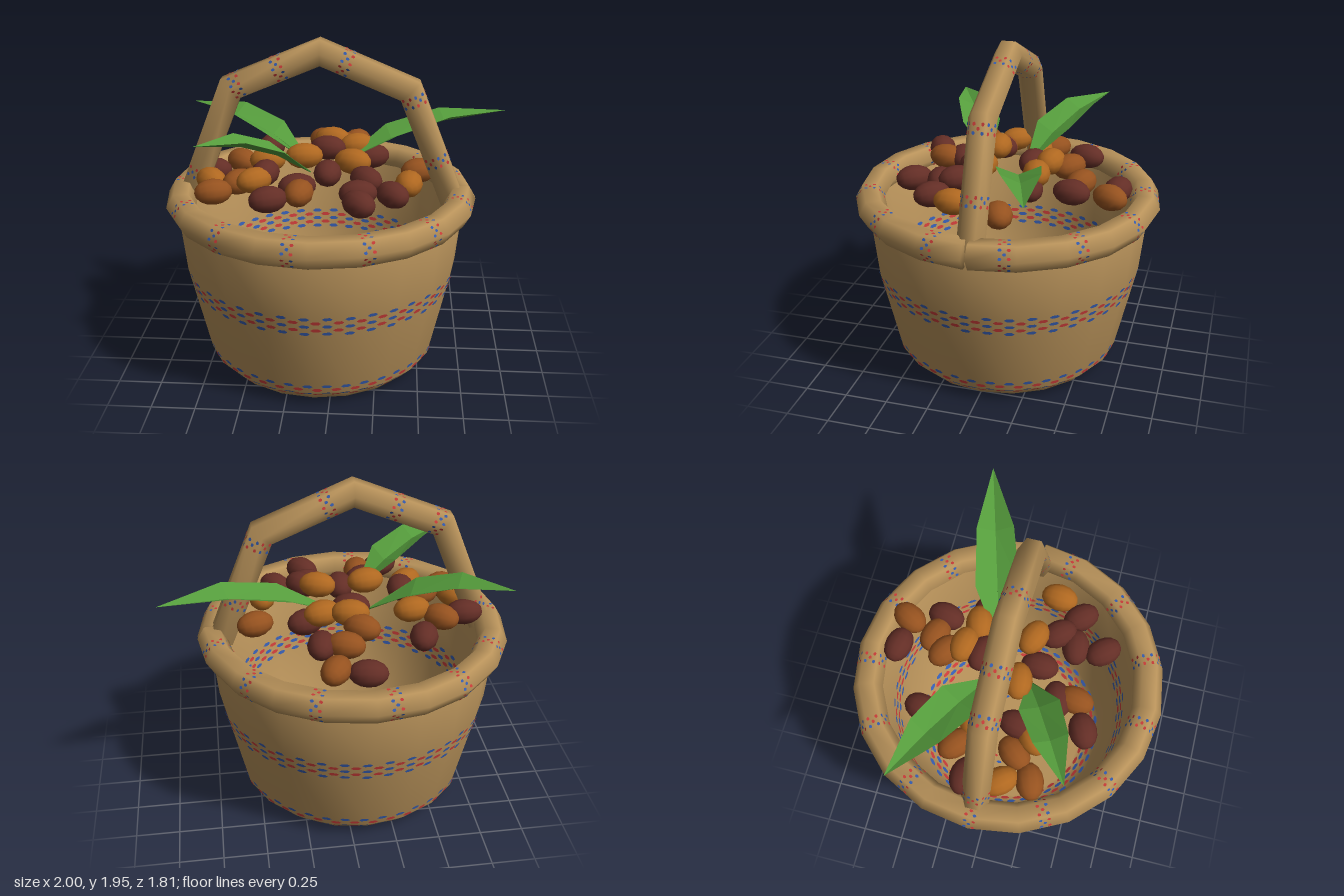
import * as THREE from 'three';
import { mergeGeometries } from 'three/addons/utils/BufferGeometryUtils.js';

const mat = (name, color, side = THREE.FrontSide) => {
  const m = new THREE.MeshStandardMaterial({ color, side });
  m.name = name;
  return m;
};
const V = (x, y, z) => new THREE.Vector3(x, y, z);
const SIDES = 20, RIM_R = 0.82, RIM_Y = 1.015;
const deg = Math.PI / 180;

// Skin a list of equal rings and close both ends.
function loft(rings) {
  const n = rings[0].length, pos = [], idx = [];
  rings.forEach(r => r.forEach(p => pos.push(p.x, p.y, p.z)));
  for (let i = 0; i < rings.length - 1; i++) {
    for (let j = 0; j < n; j++) {
      const a = i * n + j, b = i * n + (j + 1) % n;
      idx.push(a, b, a + n, b, b + n, a + n);
    }
  }
  const last = (rings.length - 1) * n;
  for (let j = 1; j < n - 1; j++) idx.push(0, j + 1, j, last, last + j, last + j + 1);
  const g = new THREE.BufferGeometry();
  g.setAttribute('position', new THREE.Float32BufferAttribute(pos, 3));
  g.setIndex(idx);
  g.computeVertexNormals();
  return g;
}

// Hexagonal section with a corner along u.
function hexRing(c, u, v, r, vScale = 1) {
  return Array.from({ length: 6 }, (_, k) => c.clone()
    .addScaledVector(u, r * Math.cos(k * Math.PI / 3))
    .addScaledVector(v, r * vScale * Math.sin(k * Math.PI / 3)));
}

// Folded leaf from base to tip.
function leafGeometry(base, tip, width) {
  const along = tip.clone().sub(base).setY(0).normalize();
  const across = V(-along.z, 0, along.x);
  const stations = [[0, 0.03, 0, 0.01], [0.3, 1, 0.62, 0.05], [0.62, 0.85, 0.95, 0.05], [1, 0.01, 1, 0]];
  const pos = [], idx = [];
  stations.forEach(([t, w, rise, fold], i) => {
    const c = base.clone().lerp(tip, t);
    c.y = base.y + (tip.y - base.y) * rise;
    [-1, 0, 1].forEach(s => {
      const p = c.clone().addScaledVector(across, s * w * width);
      pos.push(p.x, p.y + (s ? fold * 0.5 : -fold * 0.5), p.z);
    });
    if (i) for (let j = 0; j < 2; j++) {
      const a = (i - 1) * 3 + j;
      idx.push(a, a + 1, a + 3, a + 1, a + 4, a + 3);
    }
  });
  const g = new THREE.BufferGeometry();
  g.setAttribute('position', new THREE.Float32BufferAttribute(pos, 3));
  // Reverse the winding so the upper side is the front.
  for (let i = 0; i < idx.length; i += 3) [idx[i], idx[i + 1]] = [idx[i + 1], idx[i]];
  g.setIndex(idx);
  const flat = g.toNonIndexed();
  flat.computeVertexNormals();
  return flat;
}

export function createModel() {
  const model = new THREE.Group();
  model.name = 'nutBasket';
  const wicker = mat('wicker tan', 0xb8925a);
  const red = mat('woven red', 0xc83c38), blue = mat('woven blue', 0x365cae);
  const leafGreen = mat('leaf green', 0x559c3c, THREE.DoubleSide);
  const add = (parent, name, geo, material) => {
    const m = new THREE.Mesh(geo, material);
    m.name = name;
    parent.add(m);
    return m;
  };

  const basket = new THREE.Group();
  basket.name = 'basket';
  basket.position.x = -0.092;
  model.add(basket);

  // Hollow body: outside wall, lip, inside wall and floor.
  const profile = [[0, 0], [0.604, 0], [0.685, 0.085], [0.803, 0.62], [0.838, 0.97],
    [0.76, 0.97], [0.72, 0.62], [0.6, 0.14], [0.49, 0.07], [0, 0.07]];
  add(basket, 'body', new THREE.LatheGeometry(profile.map(p => new THREE.Vector2(...p)), SIDES), wicker);

  // Rim with a narrow split on its left side.
  const rimRings = [];
  for (let i = 0; i <= SIDES; i++) {
    const a = (90 - 360 / SIDES * i + (i === 0 ? -0.8 : i === SIDES ? 0.8 : 0)) * deg;
    const u = V(Math.sin(a), 0, Math.cos(a));
    rimRings.push(hexRing(u.clone().multiplyScalar(RIM_R).setY(RIM_Y), u, V(0, 1, 0), 0.086));
  }
  add(basket, 'rim', loft(rimRings), wicker);

  // Angular handle with mitred corners.
  const path = [[0.77, 1.0], [0.51, 1.655], [0, 1.868], [-0.51, 1.655], [-0.77, 1.0]].map(p => V(p[0], p[1], 0));
  const zAxis = V(0, 0, 1);
  const segNormal = i => path[i + 1].clone().sub(path[i]).normalize().cross(zAxis);
  const handleRings = path.map((p, i) => {
    const a = segNormal(Math.max(0, i - 1)), b = segNormal(Math.min(path.length - 2, i));
    const v = a.clone().add(b).normalize();
    return hexRing(p, zAxis, v, 0.08, 1 / v.dot(a));
  });
  add(basket, 'handle', loft(handleRings), wicker);

  // Painted dashes, gathered by colour.
  const paint = { red: [], blue: [] };
  const dot = new THREE.CircleGeometry(0.5, 6);
  const step = 2 * Math.PI / SIDES;
  const polygonFactor = a => {
    const d = ((a % step) + step) % step - step / 2;
    return Math.cos(step / 2) / Math.cos(d);
  };
  const stamp = (colour, p, x, y, n, w, h) => {
    const m = new THREE.Matrix4().makeBasis(x, y, n).scale(V(w, h, 1)).setPosition(p);
    paint[colour].push(dot.clone().applyMatrix4(m));
  };
  // A row runs round the basket; tilt is the angle of its surface normal above outward.
  const row = (colour, r, y, tilt, count, shift, w, h) => {
    for (let k = 0; k < count; k++) {
      const a = (k + shift) / count * 2 * Math.PI;
      const out = V(Math.sin(a), 0, Math.cos(a)), side = V(Math.cos(a), 0, -Math.sin(a));
      const n = out.clone().multiplyScalar(Math.cos(tilt)).setY(Math.sin(tilt));
      const p = out.multiplyScalar(r * polygonFactor(a)).setY(y).addScaledVector(n, 0.004);
      stamp(colour, p, side, n.clone().cross(side), n, w, h);
    }
  };
  // A band lies on the profile piece from one point to the next.
  const band = (piece, heights, first) => heights.forEach((y, i) => {
    const [r0, y0] = profile[piece], [r1, y1] = profile[piece + 1];
    const r = r0 + (r1 - r0) * (y - y0) / (y1 - y0);
    const tilt = Math.atan2(r0 - r1, y1 - y0);
    row((i + first) % 2 ? 'red' : 'blue', r, y, tilt, 40, i % 2 ? 0.25 : 0.75, 0.06, 0.024);
  });
  band(2, [0.615, 0.59, 0.565, 0.54, 0.515], 0);
  band(2, [0.13, 0.105], 0);
  band(1, [0.078, 0.06], 0);
  band(6, [0.615, 0.59, 0.565, 0.54, 0.515], 0);
  band(7, [0.13, 0.115, 0.1, 0.085], 0);
  [0.27, 0.235, 0.2].forEach((r, i) => {
    row(i % 2 ? 'red' : 'blue', r, 0, -Math.PI / 2, 20, i % 2 / 2, 0.035, 0.018);
    row(i % 2 ? 'red' : 'blue', r, 0.07, Math.PI / 2, 20, i % 2 / 2, 0.035, 0.018);
  });

  // Small dotted flowers wrapping a hexagonal bar.
  const flower = (c, u, v, apothem) => {
    const t = u.clone().cross(v);
    for (let k = 0; k < 6; k++) {
      const a = (k + 0.5) * Math.PI / 3;
      const n = u.clone().multiplyScalar(Math.cos(a)).addScaledVector(v, Math.sin(a));
      const w = t.clone().cross(n).negate();
      const x = n.clone().cross(w).negate();
      const y = n.clone().cross(x);
      [[0, 0], [-1, -1], [1, -1], [-1, 1], [1, 1]].forEach(([i, j], q) => {
        const p = c.clone().addScaledVector(n, apothem + 0.004).addScaledVector(x, i * 0.024).addScaledVector(y, j * 0.024);
        stamp((q + k) % 2 ? 'red' : 'blue', p, x, y, n, 0.022, 0.018);
      });
    }
  };
  for (let k = 0; k < 13; k++) {
    const a = Math.PI / 2 + (k + 0.5) / 13 * 2 * Math.PI;
    const u = V(Math.sin(a), 0, Math.cos(a));
    flower(u.clone().multiplyScalar(RIM_R * polygonFactor(a)).setY(RIM_Y), u, V(0, 1, 0), 0.0745);
  }
  [[0, 0.38], [0, 0.92], [1, 0.72], [2, 0.45], [2, 0.92], [3, 0.78]].forEach(([s, t]) =>
    flower(path[s].clone().lerp(path[s + 1], t), zAxis, segNormal(s), 0.0695));
  add(basket, 'redPattern', mergeGeometries(paint.red), red);
  add(basket, 'bluePattern', mergeGeometries(paint.blue), blue);

  // Nuts: x, y, z and turn in degrees.
  const nutGeo = new THREE.SphereGeometry(1, 12, 8).rotateZ(Math.PI / 2).scale(0.108, 0.074, 0.08);
  const nutSets = [
    ['darkNut', mat('dark nut', 0x642e26), [
      [-0.08, 1.12, -0.66, -10], [0.14, 1.17, -0.43, 80], [-0.06, 1.25, -0.16, -10], [-0.43, 1.17, -0.41, 75],
      [-0.74, 1.12, -0.09, 0], [-0.4, 1.19, 0.13, 80], [-0.34, 1.17, 0.49, 25], [-0.2, 1.18, 0.31, 20],
      [-0.04, 1.21, 0.17, 90], [0.18, 1.2, 0.23, -50], [0.14, 1.16, 0.34, 10], [0.33, 1.15, 0.33, -50],
      [0.15, 1.16, 0.5, -50], [0.2, 1.19, -0.2, 20]]],
    ['brownNut', mat('brown nut', 0x96521f), [
      [0.09, 1.14, -0.64, 60], [0.01, 1.18, -0.46, -20], [-0.09, 1.23, -0.37, -35], [-0.58, 1.15, -0.18, -40],
      [-0.55, 1.14, 0.15, 50], [-0.68, 1.12, 0.27, 20], [-0.18, 1.18, 0.41, 80], [0.48, 1.14, -0.1, 20]]],
    ['orangeNut', mat('orange nut', 0xb06820), [
      [-0.04, 1.27, -0.27, -10], [0.11, 1.25, -0.22, 15], [-0.72, 1.13, 0.11, -50], [-0.45, 1.18, 0.23, 40],
      [0.1, 1.26, 0.1, -20], [0.42, 1.16, 0.18, 85], [-0.18, 1.28, 0.08, 10], [-0.42, 1.18, -0.12, 10]]],
  ];
  const nuts = new THREE.Group();
  nuts.name = 'nuts';
  model.add(nuts);
  nutSets.forEach(([name, material, places]) => places.forEach(([x, y, z, turn]) => {
    const nut = add(nuts, name, nutGeo, material);
    nut.position.set(x, y, z);
    nut.rotation.y = turn * deg;
  }));

  // Three leaves fanning out over the rim.
  [['leftLeaf', V(0.02, 1.18, -0.08), V(1.0, 1.44, -0.37), 0.125],
    ['rightBackLeaf', V(-0.17, 1.18, -0.09), V(-0.91, 1.44, -0.455), 0.12],
    ['rightFrontLeaf', V(-0.14, 1.2, 0.13), V(-0.735, 1.45, 0.46), 0.115],
  ].forEach(([name, base, tip, width]) => add(model, name, leafGeometry(base, tip, width), leafGreen));

  return model;
}
